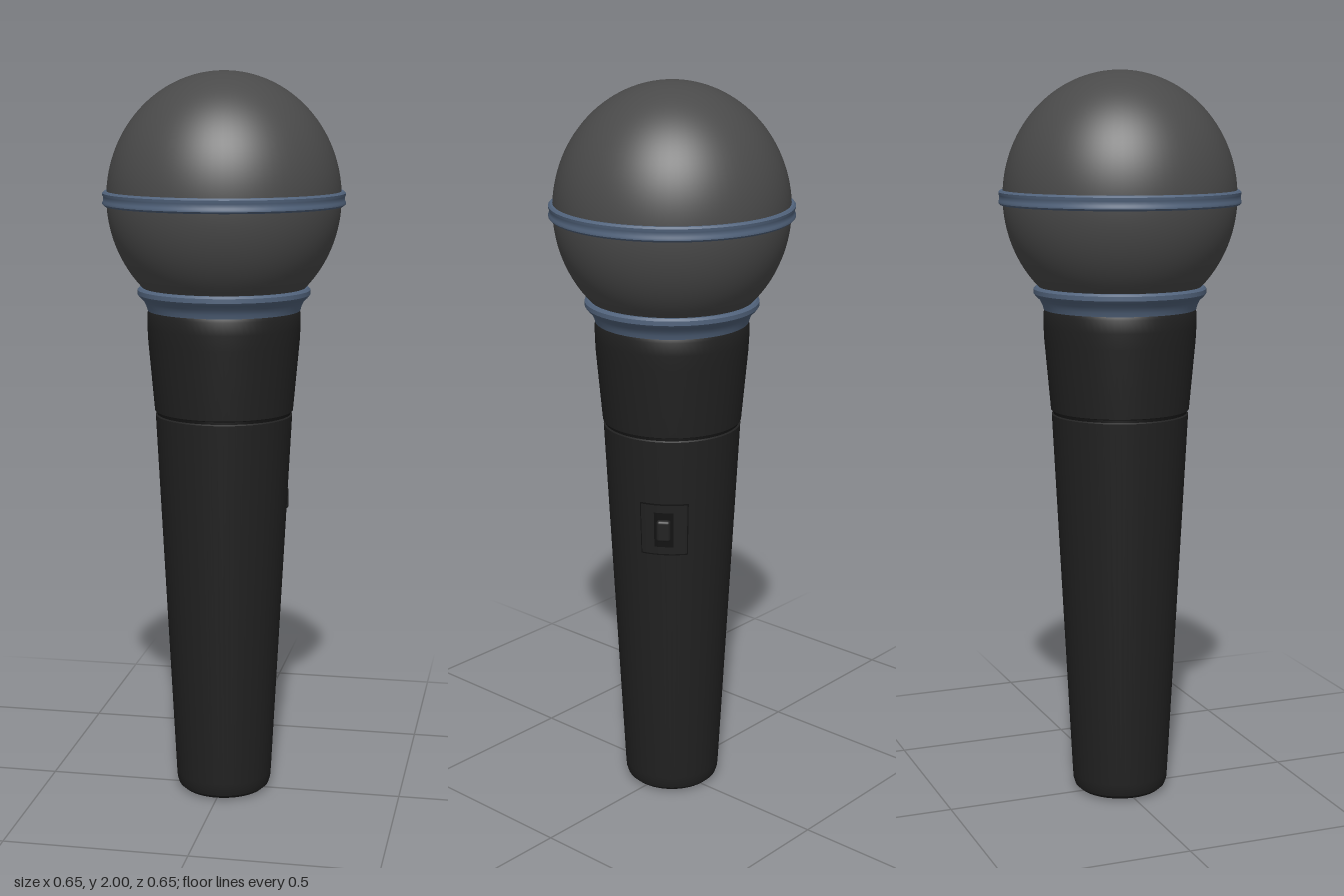
import * as THREE from 'three';
import { toCreasedNormals } from 'three/addons/utils/BufferGeometryUtils.js';
import { RoundedBoxGeometry } from 'three/addons/geometries/RoundedBoxGeometry.js';

const mat = (name, color) => Object.assign(new THREE.MeshStandardMaterial({ color }), { name });

export function createModel() {
  const model = new THREE.Group();
  model.name = 'microphone';

  const black = mat('handle black', 0x212121);
  const dark = mat('groove black', 0x121212);
  const grey = mat('grille grey', 0x4a4a4a);
  const blue = mat('band blue grey', 0x52647d);

  const add = (name, geometry, material, parent = model) => {
    const mesh = new THREE.Mesh(geometry, material);
    mesh.name = name;
    parent.add(mesh);
    return mesh;
  };
  // Revolve [radius, height] pairs listed from bottom to top
  const lathe = (pts, crease = 0.5) => {
    const g = new THREE.LatheGeometry(pts.map(([r, y]) => new THREE.Vector2(r, y)), 72);
    return crease ? toCreasedNormals(g, crease) : g;
  };

  // Handle: connector recess, rounded foot and long taper
  add('handle', lathe([
    [0, 0.05], [0.07, 0.05], [0.07, 0.004], [0.08, 0], [0.1, 0], [0.116, 0.005],
    [0.127, 0.015], [0.132, 0.03], [0.1335, 0.05], [0.187, 1.077], [0.183, 1.08],
  ]), black);
  add('handleGroove', lathe([[0.183, 1.078], [0.183, 1.09]]), dark);
  add('neck', lathe([
    [0.183, 1.087], [0.189, 1.09], [0.206, 1.28], [0.208, 1.32], [0.208, 1.355], [0.204, 1.366], [0.19, 1.368],
  ]), black);

  // Connector insert and its three pins
  const connector = new THREE.Group();
  connector.name = 'connector';
  model.add(connector);
  add('connectorInsert', new THREE.CylinderGeometry(0.058, 0.058, 0.03, 40), grey, connector).position.y = 0.032;
  for (let i = 0; i < 3; i++) {
    const a = (i * Math.PI) / 2;
    add('connectorPin', new THREE.CylinderGeometry(0.008, 0.008, 0.02, 12), dark, connector)
      .position.set(0.03 * Math.cos(a), 0.014, 0.03 * Math.sin(a));
  }

  // Flared collar under the grille
  add('collar', lathe([
    [0.19, 1.362], [0.207, 1.364], [0.21, 1.375], [0.217, 1.39], [0.228, 1.4],
    [0.234, 1.408], [0.234, 1.42], [0.228, 1.426], [0.2, 1.426],
  ]), blue);

  // Ball grille: round dome above the band, slightly longer bowl below
  const R = 0.315;
  const ball = [];
  for (let i = 0; i <= 48; i++) {
    const a = -0.85 + (i / 48) * (Math.PI / 2 + 0.85);
    ball.push([
      Math.max(0, R * Math.cos(a)),
      a < 0 ? 1.665 + 0.335 * Math.sin(a) : 1.665 + 0.335 * Math.sin(a),
    ]);
  }
  add('grille', lathe(ball, 0), grey);

  // Band round the middle of the grille
  add('grilleBand', lathe([
    [0.31, 1.645], [0.321, 1.645], [0.326, 1.65], [0.326, 1.655], [0.324, 1.659],
    [0.324, 1.67], [0.326, 1.674], [0.326, 1.679], [0.321, 1.684], [0.31, 1.684],
  ]), blue);

  // Switch on the tapered side of the handle
  const angle = 2.17, midY = 0.825;
  const radiusAt = (y) => 0.1335 + (y - 0.05) * 0.0521;
  const patch = (name, halfArc, h, lift, material) => {
    const g = new THREE.CylinderGeometry(
      radiusAt(midY + h / 2) + lift, radiusAt(midY - h / 2) + lift, h, 16, 1, true, angle - halfArc, halfArc * 2);
    add(name, g, material).position.y = midY;
  };
  patch('switchOutline', 0.38, 0.15, 0.0012, dark);
  patch('switchPlate', 0.36, 0.142, 0.0024, black);
  patch('switchSlot', 0.15, 0.1, 0.0036, dark);

  const knob = new THREE.Group();
  knob.name = 'switchKnob';
  knob.position.set(Math.sin(angle) * 0.178, midY, Math.cos(angle) * 0.178);
  knob.rotation.y = angle;
  model.add(knob);
  add('switchButton', new RoundedBoxGeometry(0.038, 0.06, 0.028, 3, 0.008), black, knob);
  return model;
}
